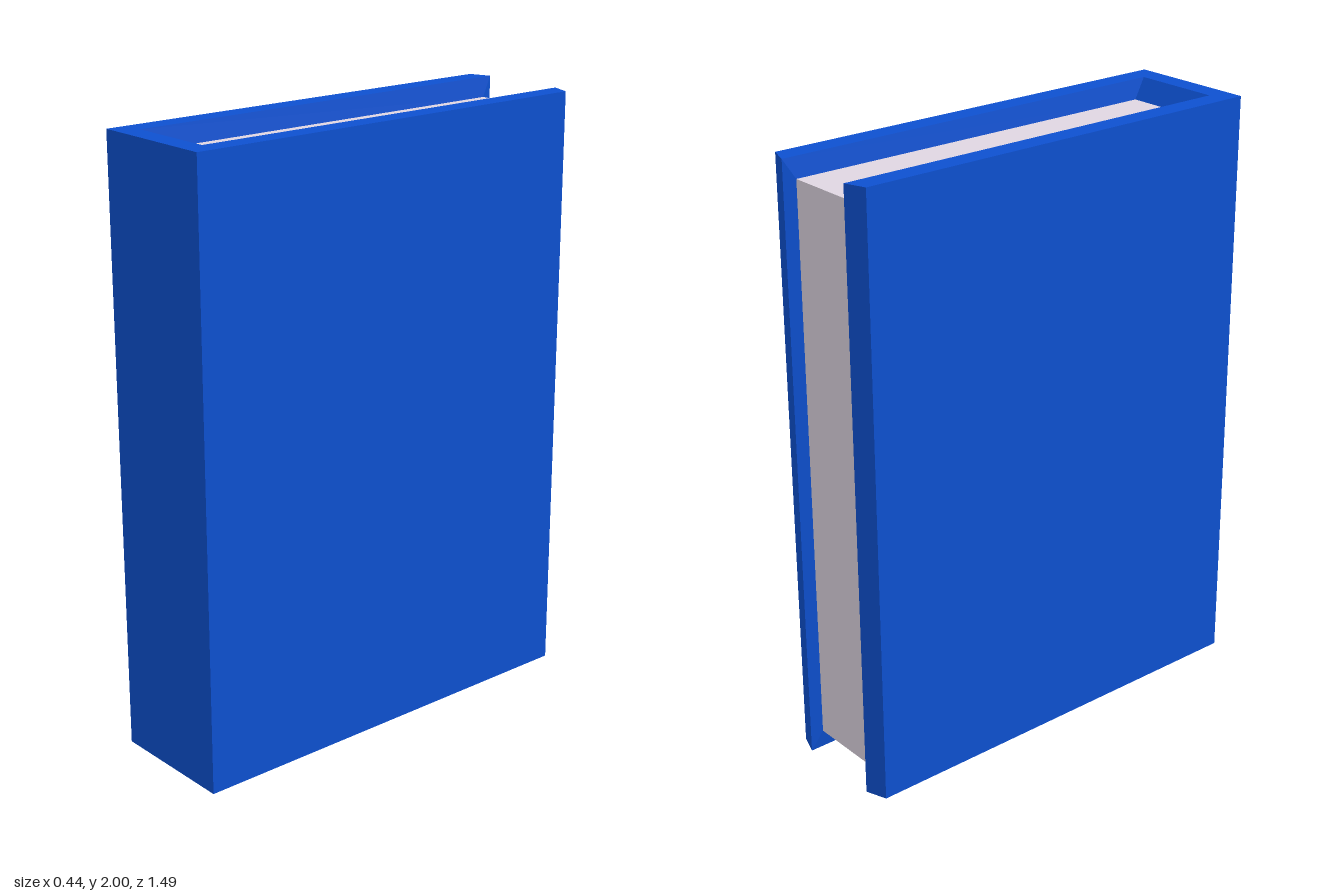
import * as THREE from 'three';

const HEIGHT = 2, LIP = 0.065; // LIP: how far the pages sit below the cover rim

// U-shaped cover: a six-point section swept around back, spine and front board
function coverGeometry() {
  const half = [
    { outer: [0.22, -0.72], rim: [0.15, -0.745], inner: [0.14, -0.705] }, // open edge
    { outer: [0.22, 0.745], rim: [0.15, 0.675], inner: [0.14, 0.63] },    // spine corner
  ];
  const ring = (s, side) => [
    [s.outer, 0], [s.rim, 0], [s.inner, LIP],
    [s.inner, HEIGHT - LIP], [s.rim, HEIGHT], [s.outer, HEIGHT],
  ].map(([[x, z], y]) => [x * side, y, z]);
  const rings = [ring(half[0], -1), ring(half[1], -1), ring(half[1], 1), ring(half[0], 1)];

  const pos = [];
  const quad = (a, b, c, d) => pos.push(...a, ...b, ...c, ...a, ...c, ...d);
  for (let i = 0; i < 3; i++) {
    const p = rings[i], q = rings[i + 1];
    for (let j = 0; j < 6; j++) {
      const k = (j + 1) % 6;
      quad(p[j], p[k], q[k], q[j]);
    }
  }
  // open-edge ends: slanted board edge, then bevel in to the pages
  const s = rings[0], e = rings[3];
  quad(s[0], s[5], s[4], s[1]);
  quad(s[1], s[4], s[3], s[2]);
  quad(e[0], e[1], e[4], e[5]);
  quad(e[1], e[2], e[3], e[4]);

  const geo = new THREE.BufferGeometry();
  geo.setAttribute('position', new THREE.Float32BufferAttribute(pos, 3));
  geo.computeVertexNormals();
  return geo;
}

export function createModel() {
  const group = new THREE.Group();
  group.name = 'book';

  const cover = new THREE.Mesh(coverGeometry(),
    new THREE.MeshStandardMaterial({ color: 0x0d50d0 }));
  cover.name = 'cover';

  // page block
  const pages = new THREE.Mesh(
    new THREE.BoxGeometry(0.28, HEIGHT - 2 * LIP, 1.335),
    new THREE.MeshStandardMaterial({ color: 0xdfd6e2 }));
  pages.name = 'pages';
  pages.position.set(0, HEIGHT / 2, -0.0375);

  group.add(cover, pages);
  return group;
}
